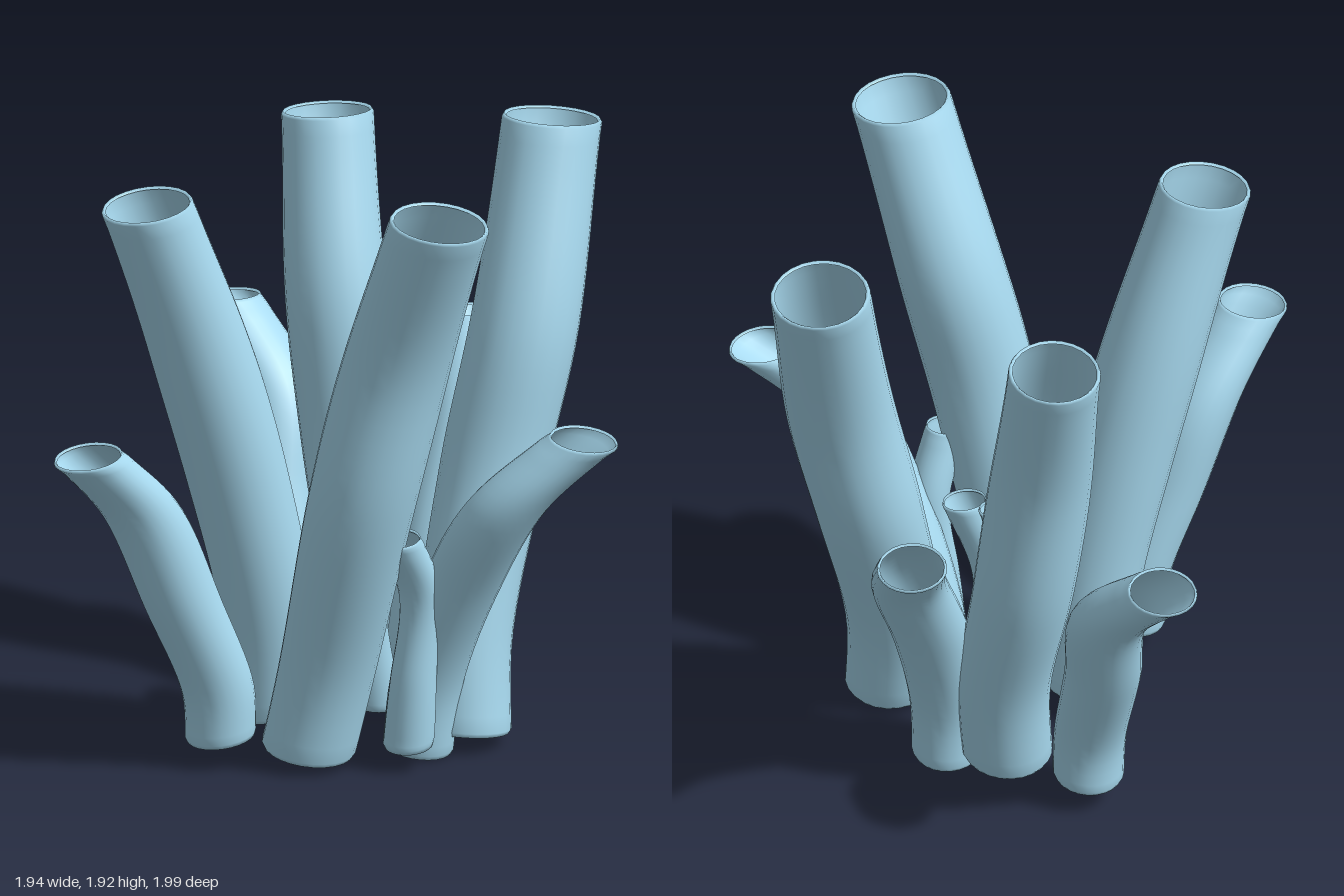
import * as THREE from 'three';

const SIDES = 24, ROWS = 30;
const material = new THREE.MeshStandardMaterial({ color: 0xa8daf0, side: THREE.DoubleSide });

// Hollow tube: nearly level rings swept along a wavy path, with softly rolled ends.
// The radius runs from base to belly to mouth.
function spongeTube(name, [base, belly, mouth], ...points) {
  const path = new THREE.CatmullRomCurve3(points.map(p => new THREE.Vector3(...p)));
  // every ring tips slightly outward, the way the whole tube leans
  const lean = path.getPoint(1).sub(path.getPoint(0)).setY(0).normalize();
  const normal = new THREE.Vector3(0, 1, 0).addScaledVector(lean, 0.15).normalize();
  const side = new THREE.Vector3().crossVectors(normal, lean).normalize();
  const out = new THREE.Vector3().crossVectors(side, normal);
  const radiusAt = t => t < 0.6
    ? THREE.MathUtils.lerp(base, belly, THREE.MathUtils.smoothstep(t, 0, 0.6))
    : THREE.MathUtils.lerp(belly, mouth, THREE.MathUtils.smoothstep(t, 0.6, 1));

  // rows: path parameter, radius factor, offset along the ring normal
  const rows = [[0, 0.9, 0.004], [0, 0.95, -0.002], [0, 1, 0.012]];
  for (let i = 1; i < ROWS; i++) rows.push([i / ROWS, 1, 0]);
  rows.push([1, 1, -0.008], [1, 0.96, 0.002], [1, 0.91, -0.006]);

  const positions = [], index = [];
  rows.forEach(([t, k, shift], j) => {
    const c = path.getPointAt(t).addScaledVector(normal, shift), r = radiusAt(t) * k;
    for (let i = 0; i < SIDES; i++) {
      const a = (i / SIDES) * Math.PI * 2;
      const p = c.clone().addScaledVector(out, r * Math.cos(a)).addScaledVector(side, r * Math.sin(a));
      positions.push(p.x, p.y, p.z);
      if (j === rows.length - 1) continue;
      const A = j * SIDES + i, B = j * SIDES + (i + 1) % SIDES;
      index.push(A, B, A + SIDES, B, B + SIDES, A + SIDES);
    }
  });
  const geometry = new THREE.BufferGeometry();
  geometry.setAttribute('position', new THREE.Float32BufferAttribute(positions, 3));
  geometry.setIndex(index);
  geometry.computeVertexNormals();
  const mesh = new THREE.Mesh(geometry, material);
  mesh.name = name;
  return mesh;
}

export function createModel() {
  const group = new THREE.Group();
  group.name = 'tubeSpongeCluster';
  const tall = [0.148, 0.172, 0.157], tallSlim = [0.143, 0.162, 0.145];
  const medium = [0.112, 0.122, 0.11], small = [0.08, 0.066, 0.07];

  // tall tubes
  group.add(
    spongeTube('tallTubeFrontLeft', tall, [0.08, 0.05, 0.285], [0.14, 0.32, 0.27], [0.3, 0.92, 0.305], [0.41, 1.4, 0.265], [0.605, 1.9, 0.315]),
    spongeTube('tallTubeBackLeft', tall, [0.365, 0.05, -0.15], [0.33, 0.35, -0.2], [0.32, 0.85, -0.37], [0.355, 1.3, -0.49], [0.3, 1.9, -0.71]),
    spongeTube('tallTubeBackRight', tallSlim, [-0.14, 0.06, -0.31], [-0.16, 0.36, -0.36], [-0.27, 0.8, -0.43], [-0.355, 1.3, -0.46], [-0.47, 1.8, -0.58]),
    spongeTube('tallTubeFrontRight', tallSlim, [-0.195, 0.08, 0.1], [-0.19, 0.4, 0.13], [-0.245, 0.88, 0.22], [-0.315, 1.35, 0.34], [-0.385, 1.81, 0.5]),
  );
  // medium tubes bending outward
  group.add(
    spongeTube('mediumTubeLeft', medium, [0.295, 0.02, 0], [0.33, 0.25, 0], [0.46, 0.57, 0.015], [0.66, 0.9, 0.025], [0.86, 1.12, -0.1]),
    spongeTube('mediumTubeBack', medium, [0.05, 0.02, -0.35], [0.05, 0.22, -0.36], [0.03, 0.56, -0.49], [-0.01, 0.88, -0.69], [-0.135, 1.12, -0.89]),
    spongeTube('mediumTubeRight', medium, [-0.445, 0.095, -0.33], [-0.455, 0.25, -0.335], [-0.55, 0.57, -0.42], [-0.64, 0.88, -0.53], [-0.865, 1.105, -0.59]),
    spongeTube('mediumTubeFront', medium, [-0.145, 0.09, 0.44], [-0.15, 0.25, 0.45], [-0.21, 0.55, 0.555], [-0.275, 0.87, 0.68], [-0.33, 1.1, 0.89]),
  );
  // small tubes in the middle
  group.add(
    spongeTube('smallTubeOuterLeft', small, [0.36, 0.08, 0.14], [0.375, 0.3, 0.135], [0.39, 0.58, 0.12], [0.38, 0.785, 0.22]),
    spongeTube('smallTubeOuterRight', small, [-0.245, 0.075, 0.17], [-0.26, 0.45, 0.15], [-0.25, 0.79, 0.21]),
    spongeTube('smallTubeBack', small, [0, 0.08, -0.14], [-0.03, 0.45, -0.03], [0, 0.8, -0.105]),
    spongeTube('smallTubeCentre', small, [0.04, 0.08, -0.12], [0.06, 0.5, -0.05], [0.135, 0.785, -0.1]),
    spongeTube('smallTubeInner', small, [0.02, 0.08, 0.22], [0.025, 0.5, 0.07], [0.04, 0.8, 0.045]),
  );
  return group;
}
